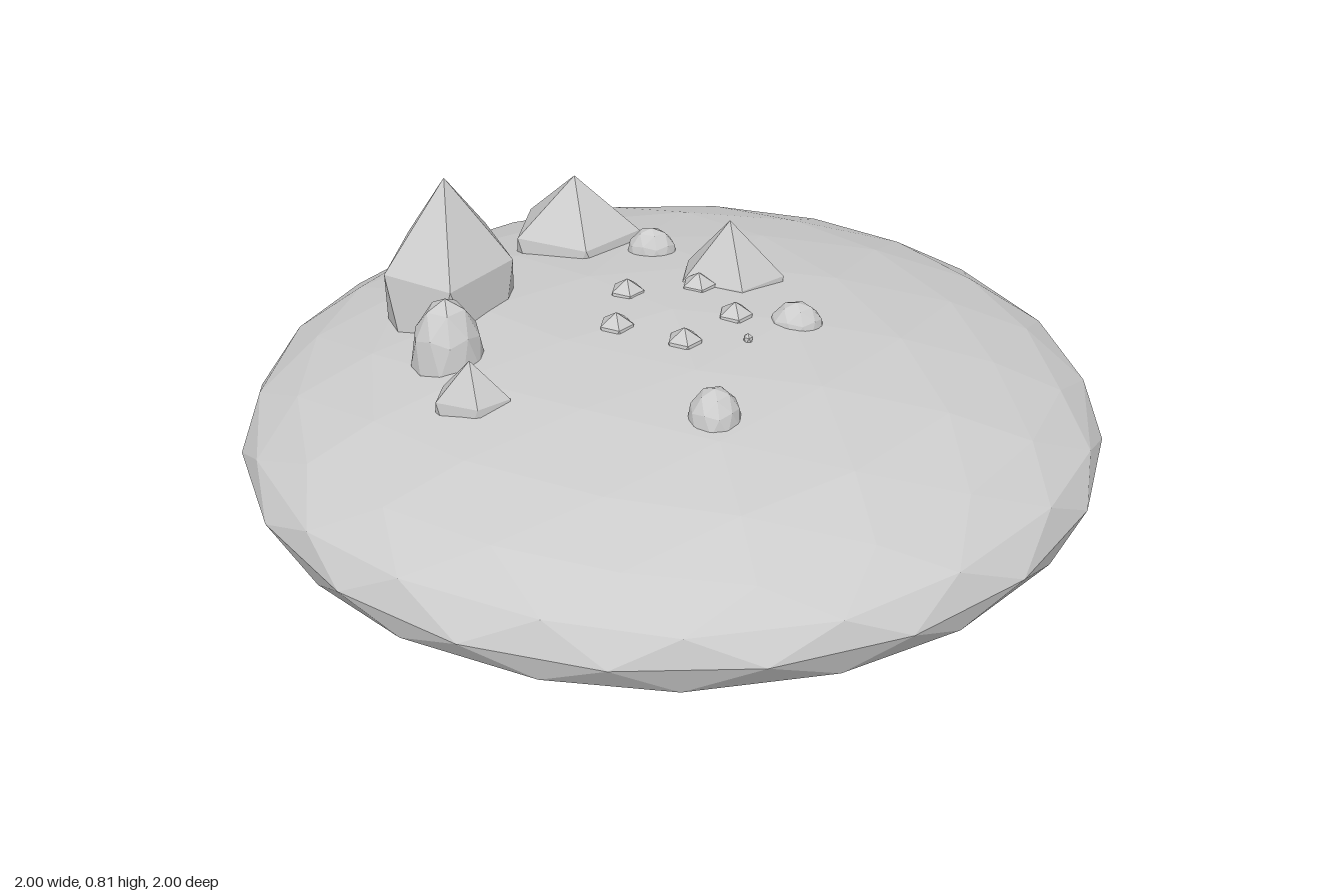
import * as THREE from 'three';
import { mergeVertices } from 'three/addons/utils/BufferGeometryUtils.js';

// Icosphere with its pole on y; each level splits every face in four
function icosphere(levels) {
  const verts = [0, 1, 0];
  for (const [y, start] of [[1, 0], [-1, 36]]) {
    for (let i = 0; i < 5; i++) {
      const a = THREE.MathUtils.degToRad(start + 72 * i);
      verts.push(2 * Math.cos(a) / Math.sqrt(5), y / Math.sqrt(5), -2 * Math.sin(a) / Math.sqrt(5));
    }
  }
  verts.push(0, -1, 0);
  const faces = [];
  for (let i = 0; i < 5; i++) {
    const u = 1 + i, u2 = 1 + (i + 1) % 5, l = 6 + i, l2 = 6 + (i + 1) % 5;
    faces.push(0, u, u2, u, l, u2, l, l2, u2, 11, l2, l);
  }
  let geo = new THREE.PolyhedronGeometry(verts, faces, 1, 0);
  for (let n = 0; n < levels; n++) {
    geo.deleteAttribute('normal');
    geo.deleteAttribute('uv');
    const merged = mergeVertices(geo, 1e-4);
    geo = new THREE.PolyhedronGeometry(
      Array.from(merged.attributes.position.array), Array.from(merged.index.array), 1, 1);
  }
  return geo;
}

export function createModel() {
  const model = new THREE.Group();
  model.name = 'rockyMound';
  const stone = new THREE.MeshStandardMaterial({ color: 0xcccccc, flatShading: true });
  stone.name = 'grey stone';

  function addStone(name, levels, centre, radii) {
    const geo = icosphere(levels);
    geo.scale(...radii);
    geo.computeVertexNormals();
    const mesh = new THREE.Mesh(geo, stone);
    mesh.name = name;
    mesh.position.set(...centre);
    model.add(mesh);
  }

  // Flattened base
  addStone('base', 2, [0, 0.275, 0], [1, 0.272, 1]);

  // Pointed crystals, sunk into the base
  addStone('largeCrystal', 0, [-0.54, 0.45, -0.08], [0.172, 0.36, 0.223]);
  addStone('backCrystal', 0, [-0.297, 0.43, -0.42], [0.18, 0.25, 0.165]);
  addStone('middleCrystal', 0, [0.11, 0.43, -0.21], [0.145, 0.25, 0.108]);
  addStone('frontCrystal', 0, [-0.388, 0.44, 0.392], [0.097, 0.16, 0.068]);

  // Rounded boulders
  addStone('sideBoulder', 1, [-0.48, 0.49, 0.21], [0.084, 0.16, 0.084]);
  addStone('frontBoulder', 1, [0.142, 0.5, 0.41], [0.06, 0.08, 0.066]);
  addStone('backBoulder', 1, [-0.095, 0.51, -0.345], [0.063, 0.075, 0.048]);
  addStone('rightBoulder', 1, [0.285, 0.51, -0.005], [0.065, 0.07, 0.054]);

  // Ring of five pebbles around the top
  for (let i = 0; i < 5; i++) {
    const a = i * Math.PI * 2 / 5;
    addStone('pebble', 0, [0.145 * Math.cos(a), 0.525, 0.145 * Math.sin(a)], [0.045, 0.05, 0.045]);
  }
  addStone('tinyPebble', 0, [0.185, 0.54, 0.11], [0.012, 0.015, 0.012]);

  return model;
}
